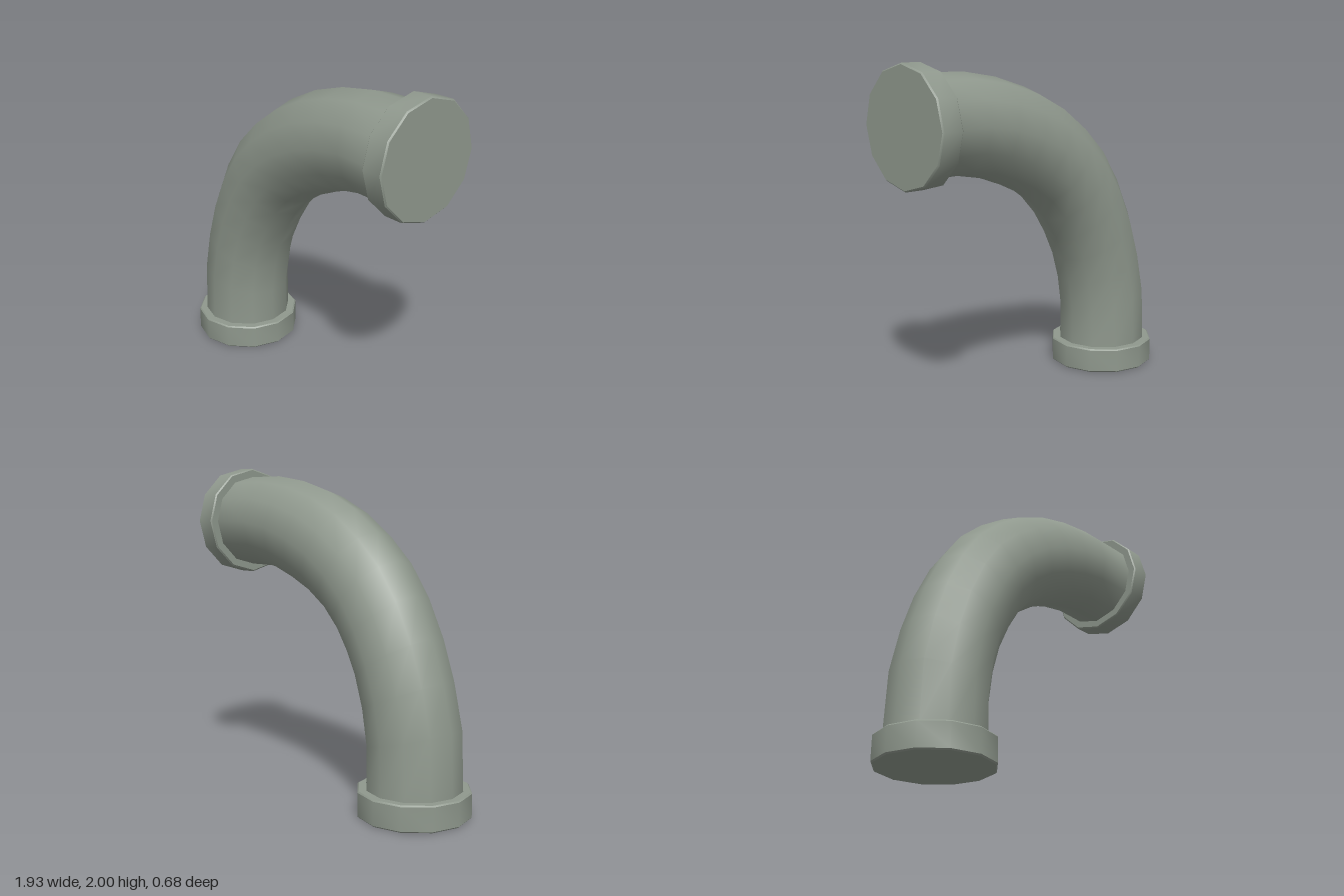
import * as THREE from 'three';
import { toCreasedNormals } from 'three/addons/utils/BufferGeometryUtils.js';

const SIDES = 12;
const material = new THREE.MeshStandardMaterial({ color: 0x8f988d });

// Bend stations: outer x, y, inner x, y, half depth in z
const STATIONS = [
  [-0.92, 0.15, -0.35, 0.15, 0.283],
  [-0.905, 0.52, -0.35, 0.37, 0.278],
  [-0.84, 0.79, -0.32, 0.57, 0.277],
  [-0.755, 1.03, -0.27, 0.735, 0.277],
  [-0.64, 1.26, -0.195, 0.885, 0.277],
  [-0.5, 1.455, -0.11, 1.015, 0.277],
  [-0.33, 1.61, 0.0, 1.13, 0.277],
  [-0.135, 1.745, 0.135, 1.22, 0.277],
  [0.08, 1.845, 0.28, 1.285, 0.277],
  [0.31, 1.91, 0.435, 1.34, 0.277],
  [0.55, 1.945, 0.6, 1.37, 0.277],
  [0.835, 1.945, 0.835, 1.37, 0.288],
];

// Skin a twelve-sided ring around every station
function pipeGeometry() {
  const positions = [];
  const index = [];
  STATIONS.forEach(([ox, oy, ix, iy, depth], i) => {
    for (let j = 0; j < SIDES; j++) {
      const a = (j / SIDES) * Math.PI * 2;
      const c = Math.cos(a) / 2;
      positions.push(
        (ox + ix) / 2 + (ox - ix) * c,
        (oy + iy) / 2 + (oy - iy) * c,
        depth * Math.sin(a)
      );
      if (i === STATIONS.length - 1) continue;
      const k = (j + 1) % SIDES;
      const p = i * SIDES + j, q = i * SIDES + k;
      index.push(p, q, q + SIDES, p, q + SIDES, p + SIDES);
    }
  });
  const geometry = new THREE.BufferGeometry();
  geometry.setAttribute('position', new THREE.Float32BufferAttribute(positions, 3));
  geometry.setIndex(index);
  geometry.computeVertexNormals();
  return geometry;
}

// Closed collar with a fine bevel, its flat end at y = 0
function collar(name, radius, height) {
  const b = 0.008;
  const profile = [
    [0, 0], [radius - b, 0], [radius, b],
    [radius, height - b], [radius - b, height], [0, height],
  ].map(([r, y]) => new THREE.Vector2(r, y));
  const geometry = toCreasedNormals(new THREE.LatheGeometry(profile, SIDES), 0.7);
  const mesh = new THREE.Mesh(geometry, material);
  mesh.name = name;
  return mesh;
}

export function createModel() {
  const model = new THREE.Group();
  model.name = 'pipeElbow';

  const pipe = new THREE.Mesh(pipeGeometry(), material);
  pipe.name = 'bentPipe';

  const lower = collar('lowerCollar', 0.336, 0.155);
  lower.position.x = -0.634;

  const upper = collar('upperCollar', 0.341, 0.136);
  upper.rotation.z = Math.PI / 2;
  upper.position.set(0.965, 1.659, 0);

  model.add(pipe, lower, upper);
  return model;
}
